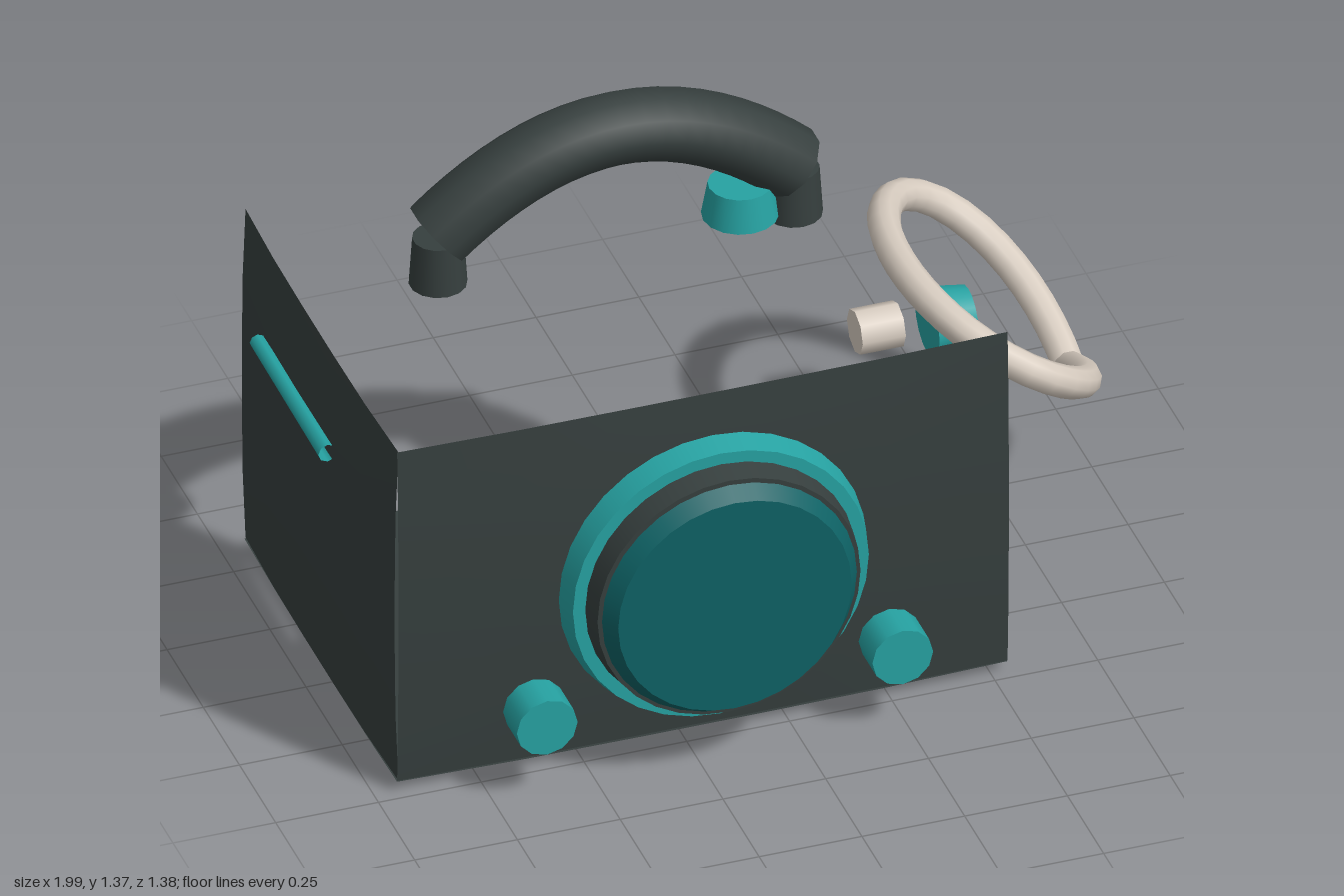
import * as THREE from 'three';

const mat = (name, color, side = THREE.FrontSide) => {
  const m = new THREE.MeshStandardMaterial({ color, side });
  m.name = name;
  return m;
};

export function createModel() {
  const model = new THREE.Group();
  const charcoal = mat('charcoal', 0x363f3e, THREE.DoubleSide);
  const teal = mat('teal', 0x26a2a2, THREE.DoubleSide);
  const deepTeal = mat('deepTeal', 0x0e6265);
  const cream = mat('cream', 0xd8cdc1, THREE.DoubleSide);

  const add = (name, geometry, material, x = 0, y = 0, z = 0) => {
    const mesh = new THREE.Mesh(geometry, material);
    mesh.name = name;
    mesh.position.set(x, y, z);
    model.add(mesh);
    return mesh;
  };

  // Cylinder of length len, centred, running along the given axis (rEnd at its + end)
  const drum = (axis, rStart, rEnd, len, sides) => {
    const g = new THREE.CylinderGeometry(rEnd, rStart, len, sides);
    if (axis === 'x') g.rotateZ(-Math.PI / 2);
    if (axis === 'z') g.rotateX(Math.PI / 2);
    return g;
  };

  // Gently pillowed panel facing +z: corners flat, edges slightly and middle fully raised
  const panel = (w, h) => {
    const g = new THREE.PlaneGeometry(w, h, 5, 5);
    const p = g.attributes.position;
    for (let i = 0; i < p.count; i++) {
      const u = Math.pow(Math.max(0, Math.cos(p.getX(i) / w * Math.PI)), 0.5);
      const v = Math.pow(Math.max(0, Math.cos(p.getY(i) / h * Math.PI)), 0.5);
      p.setZ(i, 0.009 * (u + v) + 0.01 * u * v);
    }
    g.computeVertexNormals();
    return g;
  };

  // Body shell: front, side and floor, open on the other sides
  const W = 1.485, H = 0.91, D = 1.055, cx = -0.2025, cy = 0.488, cz = -0.055;
  add('frontPanel', panel(W, H), charcoal, cx, cy, 0.473);
  add('sidePanel', panel(D, H).rotateY(-Math.PI / 2), charcoal, -0.942, cy, cz);
  add('floorPanel', panel(W, D).rotateX(Math.PI / 2), charcoal, cx, 0.03, cz);

  // Round front assembly
  const lx = -0.2, ly = 0.49;
  add('lensBarrel', drum('z', 0.345, 0.32, 0.14, 32), charcoal, lx, ly, 0.58);
  add('lensRing', drum('z', 0.374, 0.36, 0.058, 32), teal, lx, ly, 0.565);
  add('lensGlass', drum('z', 0.31, 0.284, 0.038, 32), deepTeal, lx, ly, 0.672);

  // Paired front knobs and handle posts
  for (const x of [-0.635, 0.23]) {
    add('frontKnob', drum('z', 0.074, 0.074, 0.095, 12), teal, x, 0.21, 0.582);
    add('handlePost', drum('y', 0.068, 0.06, 0.125, 14), charcoal, x, 1.027, -0.125);
  }

  // Arched carrying handle
  const arch = new THREE.QuadraticBezierCurve3(
    new THREE.Vector3(-0.637, 1.1, -0.125),
    new THREE.Vector3(-0.2, 1.485, -0.125),
    new THREE.Vector3(0.227, 1.1, -0.125));
  add('handle', new THREE.TubeGeometry(arch, 20, 0.089, 10), charcoal);

  // Buttons on the top and the side
  add('topButton', drum('y', 0.09, 0.075, 0.085, 16), teal, 0.1, 1.032, -0.125);
  add('sideButton', drum('x', 0.085, 0.07, 0.1, 16), teal, 0.61, 0.575, -0.138);

  // Pegs below the loop
  for (const z of [0.085, -0.58]) {
    add('sidePeg', drum('x', 0.055, 0.055, 0.105, 8), cream, 0.592, 0.27, z);
  }

  // Drooping loop that meets in a point at its lowest end
  class LoopCurve extends THREE.Curve {
    getPoint(s, target = new THREE.Vector3()) {
      const t = (s * 2 - 1) * Math.PI;
      return target.set(
        0.745 - 0.205 * Math.cos(t),
        0.28 + 0.38 * Math.cos(t / 2),
        -0.268 + 0.382 * Math.sin(t));
    }
  }
  add('sideLoop', new THREE.TubeGeometry(new LoopCurve(), 36, 0.039, 10), cream);

  // Open-ended rail set into the side panel
  const rail = new THREE.CylinderGeometry(0.019, 0.023, 0.485, 8, 1, true);
  add('sideRail', rail.rotateX(-Math.PI / 2), teal, -0.977, 0.7, -0.158);

  return model;
}
